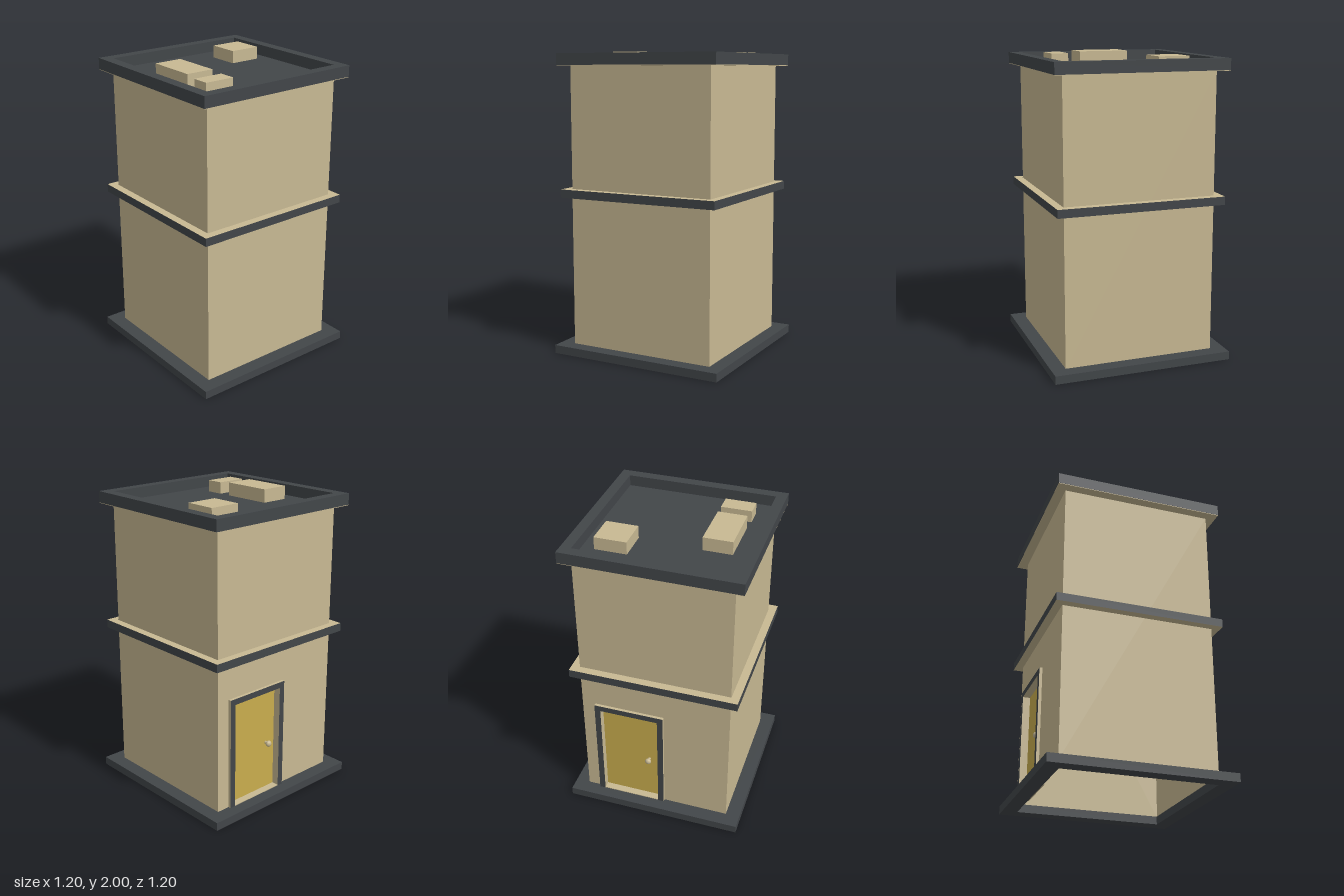
import * as THREE from 'three';

const tan = new THREE.MeshStandardMaterial({ color: 0xc8b993 });
const tanThin = new THREE.MeshStandardMaterial({ color: 0xc8b993, side: THREE.DoubleSide });
const dark = new THREE.MeshStandardMaterial({ color: 0x424649 });
const darkThin = new THREE.MeshStandardMaterial({ color: 0x424649, side: THREE.DoubleSide });
const gold = new THREE.MeshStandardMaterial({ color: 0xc9ad4e });

const WALL = 0.505; // half width of the tower

function rect(Kind, x0, y0, x1, y1) {
  return new Kind([[x0, y0], [x1, y0], [x1, y1], [x0, y1]].map(p => new THREE.Vector2(...p)));
}

export function createModel() {
  const model = new THREE.Group();

  function add(parent, name, geometry, material) {
    const mesh = new THREE.Mesh(geometry, material);
    mesh.name = name;
    parent.add(mesh);
    return mesh;
  }

  // Box given by its limits on each axis
  function box(parent, name, [x0, x1], [y0, y1], [z0, z1], material) {
    const geometry = new THREE.BoxGeometry(x1 - x0, y1 - y0, z1 - z0);
    geometry.translate((x0 + x1) / 2, (y0 + y1) / 2, (z0 + z1) / 2);
    return add(parent, name, geometry, material);
  }

  // Square ring lying flat, from y0 to y1
  function ring(name, outer, inner, y0, y1, caps, sides) {
    const shape = rect(THREE.Shape, -outer, -outer, outer, outer);
    shape.holes.push(rect(THREE.Path, -inner, -inner, inner, inner));
    const geometry = new THREE.ExtrudeGeometry(shape, { depth: y1 - y0, bevelEnabled: false });
    geometry.rotateX(-Math.PI / 2).translate(0, y0, 0);
    return add(model, name, geometry, [caps, sides]);
  }

  // Hollow walls, open at the bottom
  const walls = new THREE.Group();
  walls.name = 'walls';
  model.add(walls);
  const low = 0.05, high = 1.91;
  ['frontWall', 'leftWall', 'backWall', 'rightWall'].forEach((name, i) => {
    const shape = rect(THREE.Shape, -WALL, low, WALL, high);
    // Doorway, mirrored because the back wall is turned around
    if (name === 'backWall') shape.holes.push(rect(THREE.Path, -0.375, 0.058, 0.02, 0.775));
    const geometry = new THREE.ShapeGeometry(shape);
    geometry.translate(0, 0, WALL).rotateY(i * Math.PI / 2);
    add(walls, name, geometry, tanThin);
  });

  // Plinth, storey band and roof rim
  ring('basePlinth', 0.6, 0.5, 0, 0.055, dark, dark);
  ring('storeyBand', 0.56, 0.507, 1.05, 1.105, tan, dark);
  ring('roofSoffit', 0.569, 0.5, 1.907, 1.912, tan, tan);
  ring('roofRim', 0.57, 0.5, 1.911, 1.985, dark, dark);

  // Sunken roof floor
  const roofFloor = new THREE.PlaneGeometry(2 * WALL, 2 * WALL);
  roofFloor.rotateX(-Math.PI / 2).translate(0, 1.913, 0);
  add(model, 'roofFloor', roofFloor, darkThin);

  // Rooftop boxes
  [
    [[0.207, 0.417], 1.995, [-0.357, -0.148]],
    [[-0.395, -0.205], 2.0, [-0.17, 0.167]],
    [[-0.404, -0.202], 1.99, [0.25, 0.366]],
  ].forEach(([x, top, z], i) => box(model, `roofBox${i + 1}`, x, [1.91, top], z, tan));

  // Door set into the back wall
  const door = new THREE.Group();
  door.name = 'door';
  model.add(door);
  const frameShape = new THREE.Shape([
    [-0.06, 0.05], [-0.02, 0.05], [-0.02, 0.775], [0.375, 0.775],
    [0.375, 0.05], [0.415, 0.05], [0.415, 0.815], [-0.06, 0.815],
  ].map(p => new THREE.Vector2(...p)));
  const frame = new THREE.ExtrudeGeometry(frameShape, { depth: 0.065, bevelEnabled: false });
  frame.translate(0, 0, -0.525);
  add(door, 'doorFrame', frame, [dark, tan]);
  box(door, 'doorSill', [-0.02, 0.375], [0.045, 0.06], [-0.523, -0.455], tan);
  box(door, 'doorPanel', [-0.02, 0.375], [0.06, 0.775], [-0.475, -0.458], gold);

  // Door knob on a short stem
  const stem = new THREE.CylinderGeometry(0.01, 0.01, 0.03, 16);
  stem.rotateX(Math.PI / 2).translate(0.055, 0.39, -0.485);
  add(door, 'knobStem', stem, tan);
  const knob = new THREE.SphereGeometry(0.021, 20, 14);
  knob.scale(1, 1, 0.8).translate(0.055, 0.39, -0.505);
  add(door, 'knob', knob, tan);

  return model;
}
